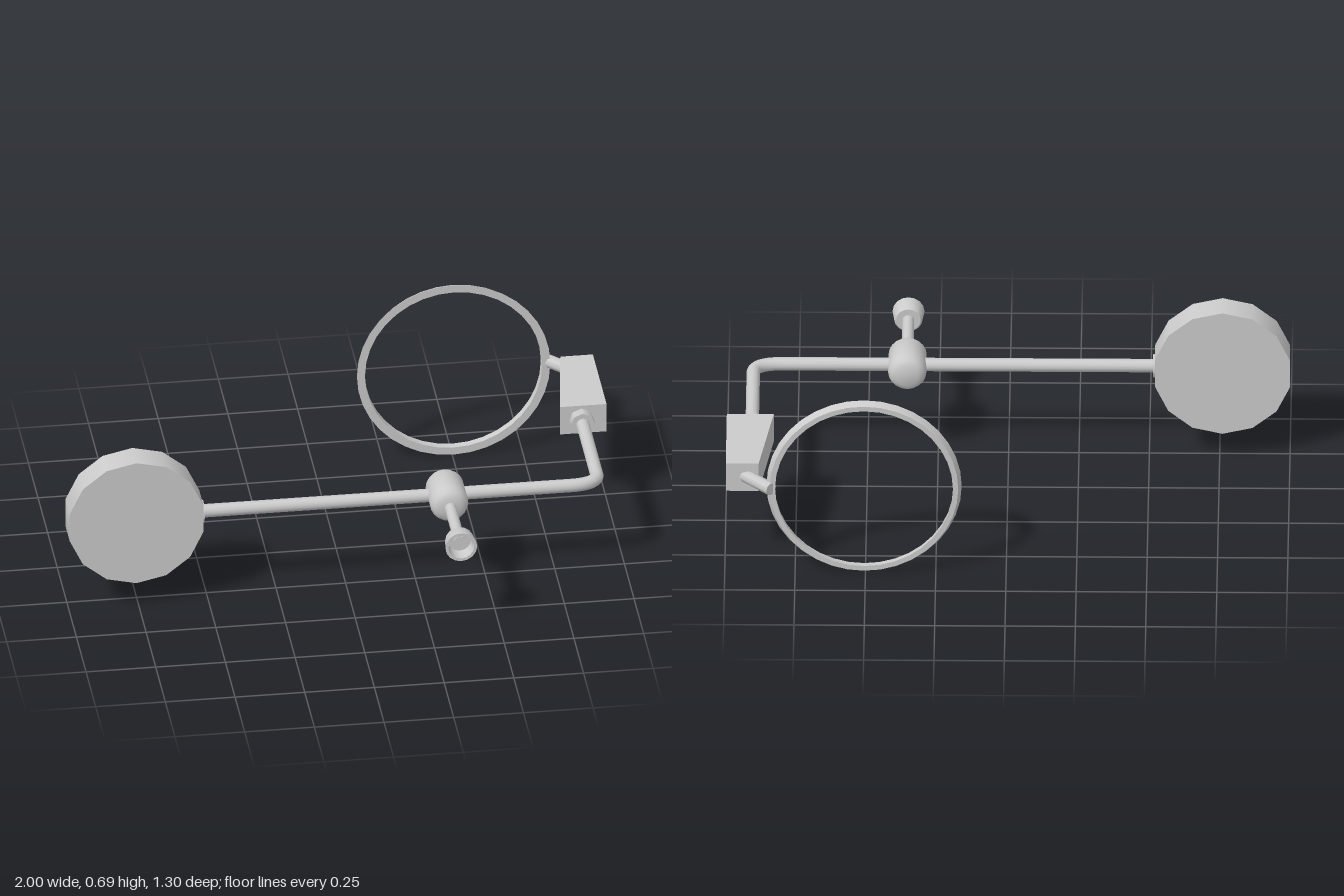
import * as THREE from 'three';
import { toCreasedNormals } from 'three/addons/utils/BufferGeometryUtils.js';

const Y = 0.348; // height of every axis
const ROD_R = 0.024;
const BAR_Z = 0.268;
const ARM_X = 0.907;

export function createModel() {
  const model = new THREE.Group();
  const grey = new THREE.MeshStandardMaterial({ color: 0xcccccc });

  const add = (name, geometry, x = 0, y = 0, z = 0) => {
    const mesh = new THREE.Mesh(geometry, grey);
    mesh.name = name;
    mesh.position.set(x, y, z);
    model.add(mesh);
    return mesh;
  };

  // Turned part along z; profile is [radius, z], running from back to front on the outside
  const turned = (profile, sides, crease = 0.6) => {
    const points = profile.map(([r, z]) => new THREE.Vector2(r, z));
    return toCreasedNormals(new THREE.LatheGeometry(points, sides).rotateX(Math.PI / 2), crease);
  };

  // Straight cylinder between two points
  const rod = (name, a, b, radius, sides) => {
    const from = new THREE.Vector3(...a), to = new THREE.Vector3(...b);
    const dir = to.clone().sub(from);
    const mesh = add(name, new THREE.CylinderGeometry(radius, radius, dir.length(), sides));
    mesh.position.copy(from).add(to).multiplyScalar(0.5);
    mesh.quaternion.setFromUnitVectors(new THREE.Vector3(0, 1, 0), dir.normalize());
    return mesh;
  };

  // Counterweight disc and its collar
  add('disc', new THREE.CylinderGeometry(0.246, 0.246, 0.11, 14).rotateX(Math.PI / 2), -0.76, Y, BAR_Z);
  rod('discCollar', [-0.55, Y, BAR_Z], [-0.513, Y, BAR_Z], 0.043, 8);

  // Main bar, bent round to the back
  const path = new THREE.CurvePath();
  const corners = [[-0.52, BAR_Z], [0.805, BAR_Z], [0.868, 0.252], [ARM_X, 0.206], [ARM_X, -0.17]]
    .map(([x, z]) => new THREE.Vector3(x, Y, z));
  path.add(new THREE.LineCurve3(corners[0], corners[1]));
  path.add(new THREE.CubicBezierCurve3(corners[1], new THREE.Vector3(0.86, Y, BAR_Z),
    new THREE.Vector3(ARM_X, Y, 0.25), corners[3]));
  path.add(new THREE.LineCurve3(corners[3], corners[4]));
  add('bar', new THREE.TubeGeometry(path, 120, ROD_R, 12, false));

  // Barrel clamp, stem and open cup
  add('clamp', turned([
    [0, -0.093], [0.04, -0.093], [0.058, -0.083], [0.068, -0.063],
    [0.068, 0.063], [0.058, 0.083], [0.04, 0.093], [0, 0.093],
  ], 20, 0.9), 0.36, Y, 0.275);
  rod('stem', [0.36, Y, 0.33], [0.36, Y, 0.61], 0.021, 12);
  add('cup', turned([
    [0, 0.585], [0.044, 0.585], [0.051, 0.595], [0.057, 0.65],
    [0.046, 0.65], [0.041, 0.602], [0, 0.602],
  ], 16), 0.36, Y, 0);

  // Tapered box on the arm, with its collar
  rod('boxCollar', [ARM_X, Y, -0.2], [ARM_X, Y, -0.156], 0.044, 8);
  const outline = new THREE.Shape([[0.83, 0.193], [0.997, 0.193], [0.997, 0.549], [0.88, 0.549]]
    .map(([x, y]) => new THREE.Vector2(x, y)));
  const box = new THREE.ExtrudeGeometry(outline, { depth: 0.112, bevelEnabled: false });
  add('box', box.rotateX(-Math.PI / 2), 0, Y - 0.056, 0);

  // Slanted pin holding the ring
  rod('ringPin', [0.935, Y, -0.53], [0.835, Y, -0.634], ROD_R, 8);

  // Ring with a bevelled rim
  add('ring', turned([
    [0.316, -0.628], [0.335, -0.628], [0.347, -0.603], [0.318, -0.603], [0.316, -0.628],
  ], 36), 0.505, Y, 0);

  return model;
}
